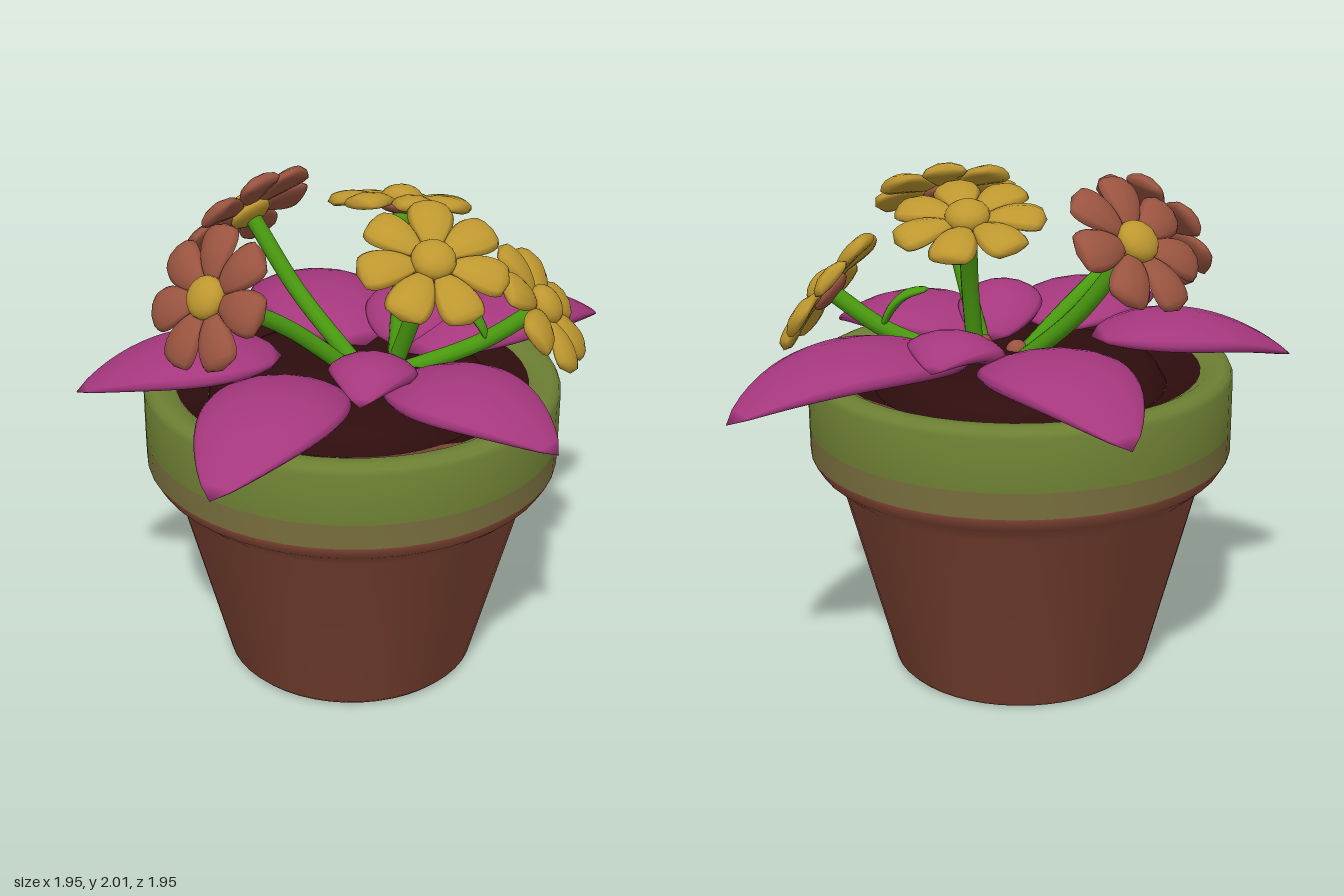
import * as THREE from 'three';
import { mergeVertices, toCreasedNormals } from 'three/addons/utils/BufferGeometryUtils.js';

const mat = (name, color) => {
  const m = new THREE.MeshStandardMaterial({ color });
  m.name = name;
  return m;
};
const V = (x, y, z) => new THREE.Vector3(x, y, z);

// Thick leaf or petal: a sphere re-shaped around a path, pointed or round by its exponents
function blade(path, halfWidth, thick, belly, p, q, droop, around = 14, along = 14) {
  const geo = new THREE.SphereGeometry(1, around, along);
  const pos = geo.attributes.position, uv = geo.attributes.uv;
  const tMax = p / (p + q), norm = tMax ** p * (1 - tMax) ** q;
  for (let i = 0; i < pos.count; i++) {
    const t = THREE.MathUtils.clamp(uv.getY(i), 0, 1), a = uv.getX(i) * Math.PI * 2;
    const w = t ** p * (1 - t) ** q / norm;
    const axis = path.getTangent(t);
    const side = axis.clone().cross(V(0, 1, 0)).normalize();
    const up = side.clone().cross(axis);
    const s = -Math.cos(a) * w, h = Math.sin(a) * w;
    const pt = path.getPoint(t)
      .addScaledVector(side, s * halfWidth)
      .addScaledVector(up, h * (h > 0 ? thick : belly) - droop * s * s);
    pos.setXYZ(i, pt.x, pt.y, pt.z);
  }
  geo.deleteAttribute('uv');
  geo.deleteAttribute('normal');
  const merged = mergeVertices(geo, 1e-4);
  merged.computeVertexNormals();
  return merged;
}

export function createModel() {
  const model = new THREE.Group();
  model.name = 'pottedFlowers';
  const clay = mat('terracotta', 0x8c4c39);
  const moss = mat('moss green', 0x6d7f33);
  const fade = mat('faded moss', 0x776d3d);
  const soil = mat('dark soil', 0x2e0d0d);
  const purple = mat('purple leaf', 0xa5377d);
  const green = mat('stem green', 0x4a9a10);
  const yellow = mat('yellow petal', 0xbe972f);
  const rust = mat('rust petal', 0x9a5440);

  const add = (parent, name, geo, material) => {
    const m = new THREE.Mesh(geo, material);
    m.name = name;
    parent.add(m);
    return m;
  };

  // Pot: turned parts sharing one axis
  const pot = new THREE.Group();
  pot.name = 'pot';
  pot.position.set(0.055, 0, -0.1);
  model.add(pot);
  const turn = (name, pts, material, start = 0, sweep = Math.PI * 2) => {
    const geo = new THREE.LatheGeometry(pts.map(([r, y]) => new THREE.Vector2(r, y)),
      Math.max(6, Math.round(48 * sweep / (Math.PI * 2))), start, sweep);
    return add(pot, name, toCreasedNormals(geo, 0.8), material);
  };
  turn('potBody', [[0, 0], [0.49, 0], [0.51, 0.02], [0.71, 0.785], [0.795, 0.86], [0.822, 0.905], [0.824, 0.915]], clay);
  turn('rimLowerBand', [[0.824, 0.915], [0.825, 1.015]], fade);
  turn('rim', [[0.825, 1.015], [0.825, 1.215], [0.815, 1.238], [0.79, 1.25], [0.74, 1.248], [0.7, 1.225]], moss);

  // Mounded soil inside a sloping inner wall, bare clay in two places
  turn('soilMound', [[0.57, 1.16], [0.53, 1.23], [0.48, 1.255], [0.3, 1.275], [0, 1.29]], soil);
  const wall = [[0.7, 1.225], [0.57, 1.16]];
  [[0, 0.15, soil], [0.15, 0.65, clay], [0.8, 1.55, soil], [2.35, 0.6, clay], [2.95, Math.PI * 2 - 2.95, soil]]
    .forEach(([a, sweep, m]) => turn(m === soil ? 'soilEdge' : 'bareWall', wall, m, a, sweep));

  // Leaves: base, arch height, tip, half width
  const leaves = [
    [[0.08, 1.28, -0.28], 1.52, [-0.48, 1.22, -0.98], 0.27],
    [[0.25, 1.28, -0.24], 1.52, [0.97, 1.22, -0.94], 0.27],
    [[-0.21, 1.33, -0.02], 1.47, [-0.98, 1.22, 0.23], 0.25],
    [[-0.03, 1.30, 0.14], 1.50, [-0.26, 1.21, 0.97], 0.265],
    [[0.24, 1.29, 0.06], 1.48, [0.91, 1.22, 0.42], 0.265],
    [[0.2, 1.29, -0.27], 1.53, [0.28, 1.36, -0.68], 0.19],
    [[0.19, 1.29, -0.02], 1.54, [0.18, 1.36, 0.45], 0.17],
  ];
  leaves.forEach(([b, arch, e, w]) => {
    const path = new THREE.QuadraticBezierCurve3(V(...b),
      V((b[0] + e[0]) / 2, arch, (b[2] + e[2]) / 2), V(...e));
    add(model, 'leaf', blade(path, w, 0.042, 0.08, 0.6, 0.82, 0.035, 16, 18), purple);
  });

  // Flowers: centre, facing direction, stem start, stem bend, petal colour, calyx colour
  const petalPath = new THREE.QuadraticBezierCurve3(V(0.045, 0, 0), V(0.17, 0.035, 0), V(0.29, -0.01, 0));
  const petalGeo = blade(petalPath, 0.088, 0.03, 0.03, 0.75, 0.32, 0.01, 10, 12);
  const headGeo = new THREE.SphereGeometry(0.085, 16, 10).scale(1, 0.65, 1);
  const calyxGeo = new THREE.SphereGeometry(0.09, 14, 8).scale(1, 0.35, 1);
  const flowers = [
    [[-0.41, 1.79, -0.36], [-0.62, 0.65, -0.42], [0.07, 1.24, -0.16], [-0.2, 1.5, -0.28], rust, yellow],
    [[-0.41, 1.69, 0.31], [-0.5, 0.5, 0.7], [0.07, 1.24, -0.1], [-0.18, 1.5, 0.08], rust, yellow],
    [[0.2, 1.86, -0.38], [0, 0.95, -0.3], [0.22, 1.22, -0.14], [0.22, 1.6, -0.26], yellow, rust],
    [[0.4, 1.84, 0.18], [0.2, 0.85, 0.48], [0.2, 1.22, -0.04], [0.31, 1.55, 0.06], yellow, rust],
    [[0.78, 1.53, -0.22], [0.79, 0.6, 0.04], [0.25, 1.25, -0.14], [0.55, 1.37, -0.2], yellow, rust],
  ];
  flowers.forEach(([c, n, start, bend, colour, calyxColour], k) => {
    const normal = V(...n).normalize(), centre = V(...c);
    const flower = new THREE.Group();
    flower.name = 'flower';
    flower.position.copy(centre);
    flower.quaternion.setFromUnitVectors(V(0, 1, 0), normal);
    model.add(flower);
    for (let i = 0; i < 7; i++) {
      add(flower, 'petal', petalGeo, colour).rotation.y = i / 7 * Math.PI * 2 + k * 0.3;
    }
    add(flower, 'flowerCentre', headGeo, yellow).position.y = 0.02;
    add(flower, 'calyx', calyxGeo, calyxColour).position.y = -0.01;
    const stem = new THREE.CatmullRomCurve3([V(...start), V(...bend),
      centre.clone().addScaledVector(normal, -0.01)]);
    add(model, 'stem', new THREE.TubeGeometry(stem, 16, 0.034, 10), green);
  });

  // Brown stem bases
  [[0.07, 1.28, -0.09], [0.22, 1.28, -0.03]].forEach((p) => {
    add(model, 'stemBase', new THREE.SphereGeometry(0.045, 12, 8), rust).position.set(...p);
  });

  // Curled side shoot
  const shoot = new THREE.CatmullRomCurve3([V(0.58, 1.38, -0.2), V(0.54, 1.46, -0.2),
    V(0.48, 1.52, -0.2), V(0.39, 1.545, -0.19)]);
  add(model, 'sideShoot', blade(shoot, 0.045, 0.018, 0.018, 0.4, 0.4, 0), green);

  return model;
}
